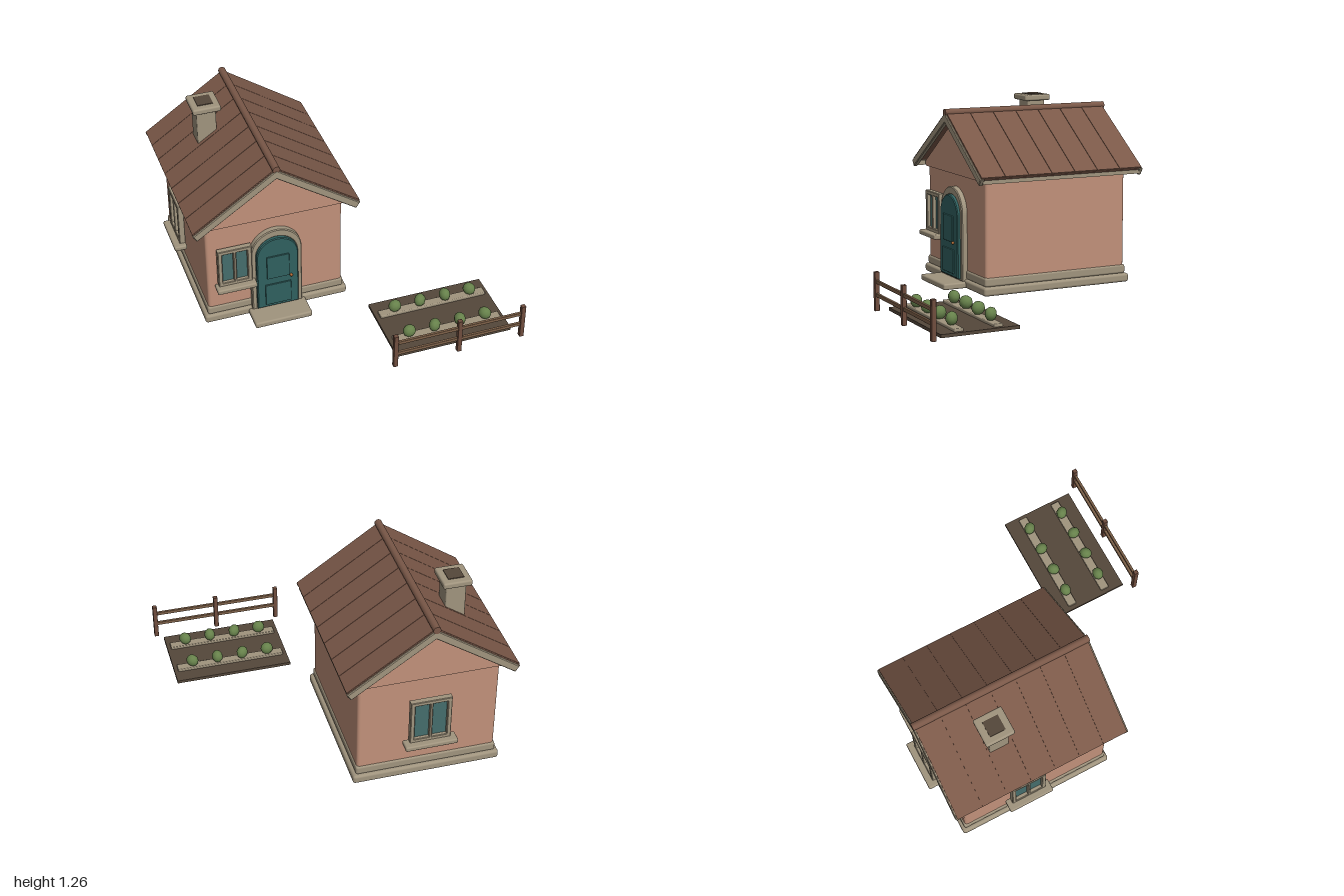
import * as THREE from 'three';
import { RoundedBoxGeometry } from 'three/addons/geometries/RoundedBoxGeometry.js';

const mat = (name, color) => {
  const m = new THREE.MeshStandardMaterial({ color });
  m.name = name;
  return m;
};

export function createModel() {
  const wall = mat('plaster', 0xc1917a);
  const trim = mat('stone', 0xa0947e);
  const roof = mat('roofBrown', 0x7a5848);
  const teal = mat('doorTeal', 0x30605f);
  const glass = mat('windowGlass', 0x456d6c);
  const soil = mat('soil', 0x54473a);
  const wood = mat('fenceWood', 0x6f4d3e);
  const railWood = mat('railWood', 0x7d6048);
  const leaf = mat('leafGreen', 0x68834c);
  const brass = mat('handleBrass', 0xb06a35);

  const model = new THREE.Group();
  model.name = 'cottageAndGarden';
  const section = (name, parent = model) => {
    const g = new THREE.Group();
    g.name = name;
    parent.add(g);
    return g;
  };
  const add = (parent, name, geometry, material, x = 0, y = 0, z = 0) => {
    const m = new THREE.Mesh(geometry, material);
    m.name = name;
    m.position.set(x, y, z);
    parent.add(m);
    return m;
  };
  // Box given by its limits, with softened edges when r > 0
  const box = (parent, name, material, [x0, x1], [y0, y1], [z0, z1], r = 0) => {
    const s = [x1 - x0, y1 - y0, z1 - z0];
    const g = r ? new RoundedBoxGeometry(...s, 2, r) : new THREE.BoxGeometry(...s);
    return add(parent, name, g, material, (x0 + x1) / 2, (y0 + y1) / 2, (z0 + z1) / 2);
  };
  const polygon = (pts) => new THREE.Shape(pts.map(([x, y]) => new THREE.Vector2(x, y)));
  const extrude = (shape, depth, bevel = 0) => new THREE.ExtrudeGeometry(shape, {
    depth, curveSegments: 20, bevelEnabled: bevel > 0,
    bevelSize: bevel, bevelThickness: bevel, bevelOffset: -bevel, bevelSegments: 1,
  });

  // House: x is centred on the ridge
  const house = section('house');
  house.position.x = -0.435;
  box(house, 'foundation', trim, [-0.49, 0.49], [0, 0.06], [-0.91, 0.19], 0.018);
  box(house, 'plinth', trim, [-0.468, 0.468], [0.058, 0.12], [-0.892, 0.175], 0.015);
  box(house, 'walls', wall, [-0.46, 0.46], [0.08, 0.78], [-0.882, 0.167], 0.02);
  add(house, 'gable', extrude(polygon([
    [-0.483, 0.755], [0.483, 0.755], [0.483, 0.79], [0, 1.125], [-0.483, 0.79],
  ]), 1.075), wall, 0, 0, -0.895);
  box(house, 'doorstep', trim, [-0.195, 0.195], [0.003, 0.045], [0.15, 0.35], 0.012);

  // Roof: planked slopes, ridge pole, bargeboards and eaves
  const roofGroup = section('roof', house);
  const planks = 7, z0 = -0.96, z1 = 0.243, pitch = (z1 - z0) / planks;
  for (const s of [-1, 1]) {
    const slab = (drop) => {
      const pts = [[0, 1.183 - drop], [0, 1.15], [s * 0.542, 0.779], [s * 0.556, 0.803 - drop]];
      return polygon(s > 0 ? pts.reverse() : pts);
    };
    add(roofGroup, 'roofUnderlay', extrude(slab(0.005), z1 - z0), roof, 0, 0, z0);
    for (let i = 0; i < planks; i++) {
      add(roofGroup, 'roofPlank', extrude(slab(0), pitch - 0.003), roof, 0, 0, z0 + i * pitch + 0.0015);
    }
    box(roofGroup, 'eaveBoard', trim, s > 0 ? [0.505, 0.545] : [-0.545, -0.505], [0.757, 0.79], [-0.95, 0.23]);
  }
  const chevron = polygon([
    [0, 1.172], [-0.557, 0.79], [-0.53, 0.748], [0, 1.108], [0.53, 0.748], [0.557, 0.79],
  ]);
  for (const z of [-0.97, 0.222]) add(roofGroup, 'bargeboard', extrude(chevron, 0.022, 0.005), trim, 0, 0, z + 0.004);
  const ridge = add(roofGroup, 'ridgePole', new THREE.CylinderGeometry(0.025, 0.025, 1.225, 12), roof, 0, 1.175, -0.36);
  ridge.rotation.x = Math.PI / 2;

  // Chimney
  const chimney = section('chimney', house);
  chimney.position.set(-0.247, 0, -0.538);
  box(chimney, 'chimneyStack', trim, [-0.066, 0.066], [0.9, 1.22], [-0.066, 0.066], 0.008);
  box(chimney, 'chimneyCap', trim, [-0.094, 0.094], [1.21, 1.252], [-0.098, 0.098], 0.012);
  box(chimney, 'chimneyOpening', soil, [-0.052, 0.052], [1.25, 1.257], [-0.053, 0.053]);

  // Arched door and its stone surround
  const arch = (w, base, spring) => {
    const s = new THREE.Shape();
    s.moveTo(-w, base);
    s.lineTo(w, base);
    s.lineTo(w, spring);
    s.absarc(0, spring, w, 0, Math.PI, false);
    s.lineTo(-w, base);
    return s;
  };
  const door = section('door', house);
  const surround = arch(0.172, 0.045, 0.5);
  surround.holes.push(arch(0.138, 0.06, 0.48));
  add(door, 'doorSurround', extrude(surround, 0.04, 0.006), trim, 0, 0, 0.16);
  add(door, 'doorLeaf', extrude(arch(0.141, 0.06, 0.477), 0.05, 0.006), teal, 0, 0, 0.17);
  box(door, 'upperPanel', teal, [-0.075, 0.078], [0.3, 0.48], [0.22, 0.235], 0.004);
  box(door, 'lowerPanel', teal, [-0.088, 0.088], [0.085, 0.25], [0.22, 0.235], 0.004);
  add(door, 'doorHandle', new THREE.SphereGeometry(0.011, 12, 8), brass, 0.088, 0.3, 0.236);

  // Two-pane window facing +z, standing on a sill at y = 0
  const addWindow = (name, w, h, sill, x, y, z, turn) => {
    const g = section(name);
    g.position.set(x, y, z);
    g.rotation.y = turn;
    const a = w / 2, b = 0.028;
    const frame = polygon([[-a, 0], [a, 0], [a, h], [-a, h]]);
    for (const [l, r] of [[-a + b, -0.009], [0.009, a - b]]) {
      frame.holes.push(polygon([[l, b], [l, h - b], [r, h - b], [r, b]]));
    }
    add(g, 'windowFrame', extrude(frame, 0.034, 0.004), trim, 0, 0, 0.004);
    box(g, 'windowPanes', glass, [-a + 0.015, a - 0.015], [0.015, h - 0.015], [0.009, 0.018]);
    box(g, 'windowSill', trim, [-sill / 2, sill / 2], [-0.03, 0.005], [0, 0.085], 0.01);
  };
  addWindow('frontWindow', 0.226, 0.285, 0.265, -0.718, 0.312, 0.18, 0);
  addWindow('backWindow', 0.27, 0.32, 0.345, -0.435, 0.296, -0.908, Math.PI);
  addWindow('rightWindow', 0.245, 0.31, 0.315, -0.912, 0.3, -0.435, -Math.PI / 2);

  // Vegetable bed with two planted rows
  const garden = section('garden');
  box(garden, 'soilBed', soil, [0.14, 0.94], [0.005, 0.026], [0.385, 0.905]);
  for (const z of [0.515, 0.775]) {
    box(garden, 'plantingRow', trim, [0.168, 0.915], [0.022, 0.045], [z - 0.031, z + 0.031], 0.006);
    for (let i = 0; i < 4; i++) {
      const plant = add(garden, 'plant', new THREE.IcosahedronGeometry(0.044, 1), leaf, 0.277 + i * 0.177, 0.083, z);
      plant.rotation.y = i * 0.8;
      plant.scale.set(1, 1, 0.85);
    }
  }

  // Fence
  const fence = section('fence');
  for (const x of [0.104, 0.542, 0.981]) {
    box(fence, 'fencePost', wood, [x - 0.015, x + 0.015], [0.003, 0.255], [0.957, 0.987], 0.003);
  }
  for (const y of [0.107, 0.192]) {
    box(fence, 'fenceRail', railWood, [0.1, 0.985], [y - 0.012, y + 0.012], [0.963, 0.981], 0.003);
  }
  return model;
}
